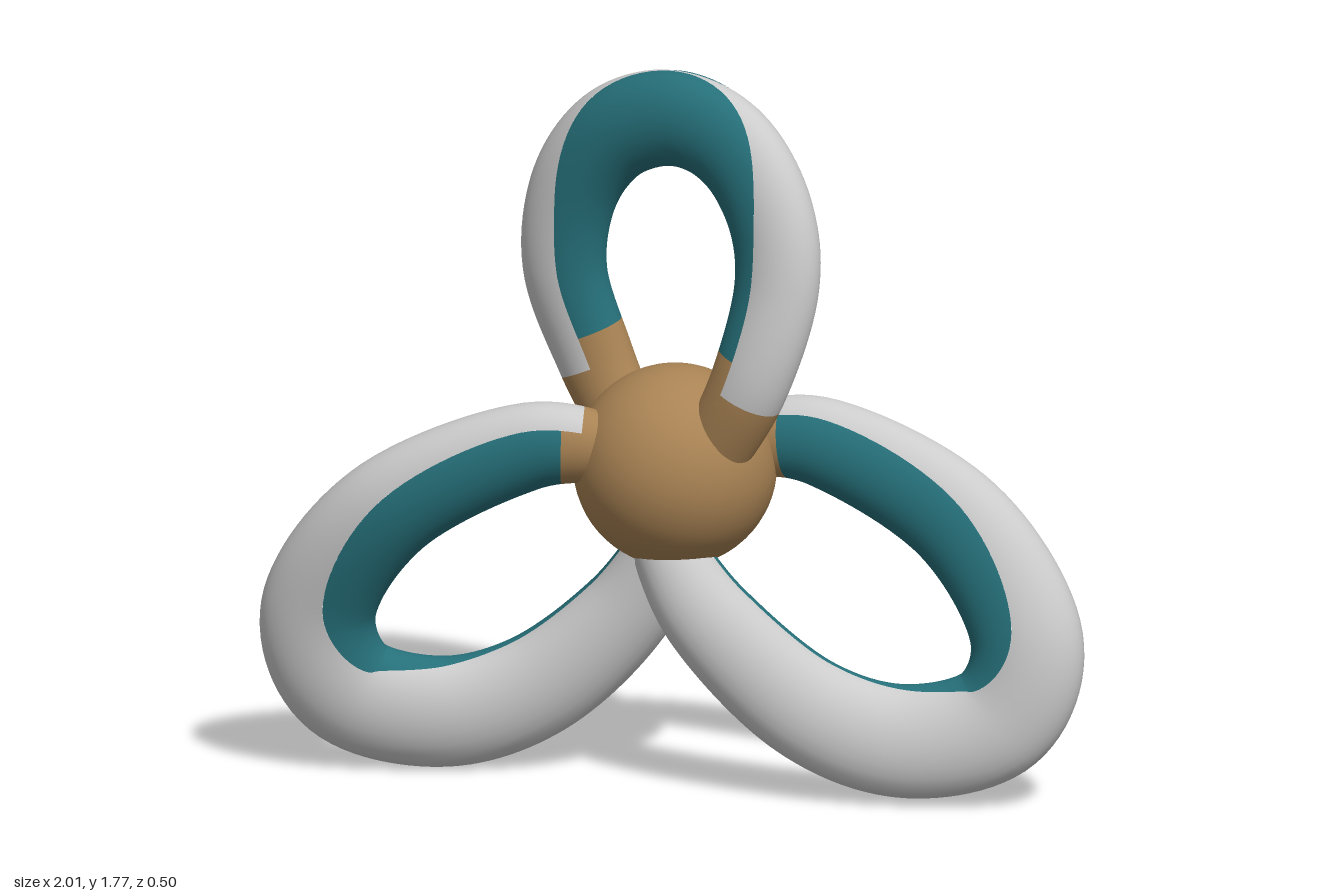
import * as THREE from 'three';

const GREY = 0xcccccc, TEAL = 0x26707a, TAN = 0xa98354;
const { lerp, smoothstep } = THREE.MathUtils;
const points = list => list.map(p => new THREE.Vector3(...p));

// Angle the teal band reaches to either side of the hole: wraps right over the top
// of the upright loop, narrows from the upper to the lower root of the side loops
const topBand = u => 1.3 + 1.8 * Math.sin(Math.PI * u) ** 8;
const sideBand = u => lerp(2.2, 0.2, smoothstep(u, 0.1, 0.75));

// Centre lines run clockwise; slope tilts the loop's plane, roots are the end half widths
const LOOPS = [
  {
    name: 'topLoop', slope: [0.49, 0], roots: [0.08, 0.08], bulge: 0.038, tan: [0.13, 0.88], band: topBand,
    path: points([
      [-0.12, 0.85, -0.09], [-0.205, 1.03, -0.125], [-0.277, 1.25, -0.125],
      [-0.25, 1.46, -0.1], [-0.145, 1.61, -0.05], [0.01, 1.663, 0.015],
      [0.15, 1.605, 0.075], [0.24, 1.46, 0.125], [0.258, 1.28, 0.15],
      [0.195, 1.05, 0.155], [0.1, 0.85, 0.1]
    ])
  },
  {
    name: 'leftLoop', slope: [0.1, -0.15], roots: [0.07, 0.075], bulge: 0.068, tan: [0.08, 1], band: sideBand,
    path: points([
      [0.12, 0.84, -0.07], [0.36, 0.857, -0.01], [0.685, 0.7, 0.08],
      [0.86, 0.44, 0.155], [0.8, 0.23, 0.165], [0.57, 0.162, 0.155],
      [0.33, 0.235, 0.14], [0.1, 0.435, 0.11], [-0.03, 0.62, 0.05]
    ])
  },
  {
    name: 'rightLoop', slope: [0, 0.13], roots: [0.075, 0.07], bulge: 0.07, tan: [0, 0.92], band: u => sideBand(1 - u),
    path: points([
      [0, 0.62, -0.05], [-0.13, 0.405, -0.075], [-0.34, 0.22, -0.085],
      [-0.57, 0.15, -0.075], [-0.8, 0.215, -0.05], [-0.86, 0.43, -0.01],
      [-0.685, 0.69, 0.06], [-0.36, 0.85, 0.07], [-0.12, 0.85, 0.06]
    ])
  }
];

// Patch of a flattened tube between u0 and u1; inner picks the band facing the hole
function tubePatch({ path, slope, roots, bulge, band }, u0, u1, inner) {
  const curve = new THREE.CatmullRomCurve3(path, false, 'catmullrom');
  const plane = new THREE.Vector3(-slope[0], -slope[1], 1).normalize();
  const along = Math.max(4, Math.ceil((u1 - u0) * 100)), around = 24;
  const pos = [], nor = [], idx = [];
  for (let i = 0; i <= along; i++) {
    const u = lerp(u0, u1, i / along);
    const c = curve.getPoint(u), T = curve.getTangent(u);
    const S = T.clone().cross(plane).normalize(); // toward the hole
    const N = S.clone().cross(T).normalize();
    const half = lerp(roots[0], roots[1], u) + bulge * Math.max(0, Math.sin(Math.PI * u)) ** 0.6;
    const thick = 0.06 + half * 0.21, w = band(u);
    const from = inner ? -w : w, to = inner ? w : 2 * Math.PI - w;
    for (let j = 0; j <= around; j++) {
      const a = lerp(from, to, j / around), cs = Math.cos(a), sn = Math.sin(a);
      const p = c.clone().addScaledVector(S, half * cs).addScaledVector(N, thick * sn);
      const n = S.clone().multiplyScalar(cs / half).addScaledVector(N, sn / thick).normalize();
      pos.push(p.x, p.y, p.z);
      nor.push(n.x, n.y, n.z);
      if (i < along && j < around) {
        const k = i * (around + 1) + j, m = k + around + 1;
        idx.push(k, m, m + 1, k, m + 1, k + 1);
      }
    }
  }
  const g = new THREE.BufferGeometry();
  g.setAttribute('position', new THREE.Float32BufferAttribute(pos, 3));
  g.setAttribute('normal', new THREE.Float32BufferAttribute(nor, 3));
  g.setIndex(idx);
  return g;
}

export function createModel() {
  const model = new THREE.Group();
  const add = (parent, name, geometry, color) => {
    const mesh = new THREE.Mesh(geometry, new THREE.MeshStandardMaterial({ color }));
    mesh.name = name;
    parent.add(mesh);
    return mesh;
  };

  // Central ball
  add(model, 'hub', new THREE.SphereGeometry(0.246, 48, 32), TAN).position.y = 0.797;

  // Three loops, each a grey outside, a teal inside and tan roots
  for (const loop of LOOPS) {
    const group = new THREE.Group();
    group.name = loop.name;
    const [a, b] = loop.tan;
    const outerA = a * 0.7, outerB = 1 - (1 - b) * 0.7;
    add(group, 'outerBand', tubePatch(loop, outerA, outerB, false), GREY);
    add(group, 'innerBand', tubePatch(loop, a, b, true), TEAL);
    if (a > 0) {
      add(group, 'startRootInner', tubePatch(loop, 0, a, true), TAN);
      add(group, 'startRootOuter', tubePatch(loop, 0, outerA, false), TAN);
    }
    if (b < 1) {
      add(group, 'endRootInner', tubePatch(loop, b, 1, true), TAN);
      add(group, 'endRootOuter', tubePatch(loop, outerB, 1, false), TAN);
    }
    model.add(group);
  }
  return model;
}
